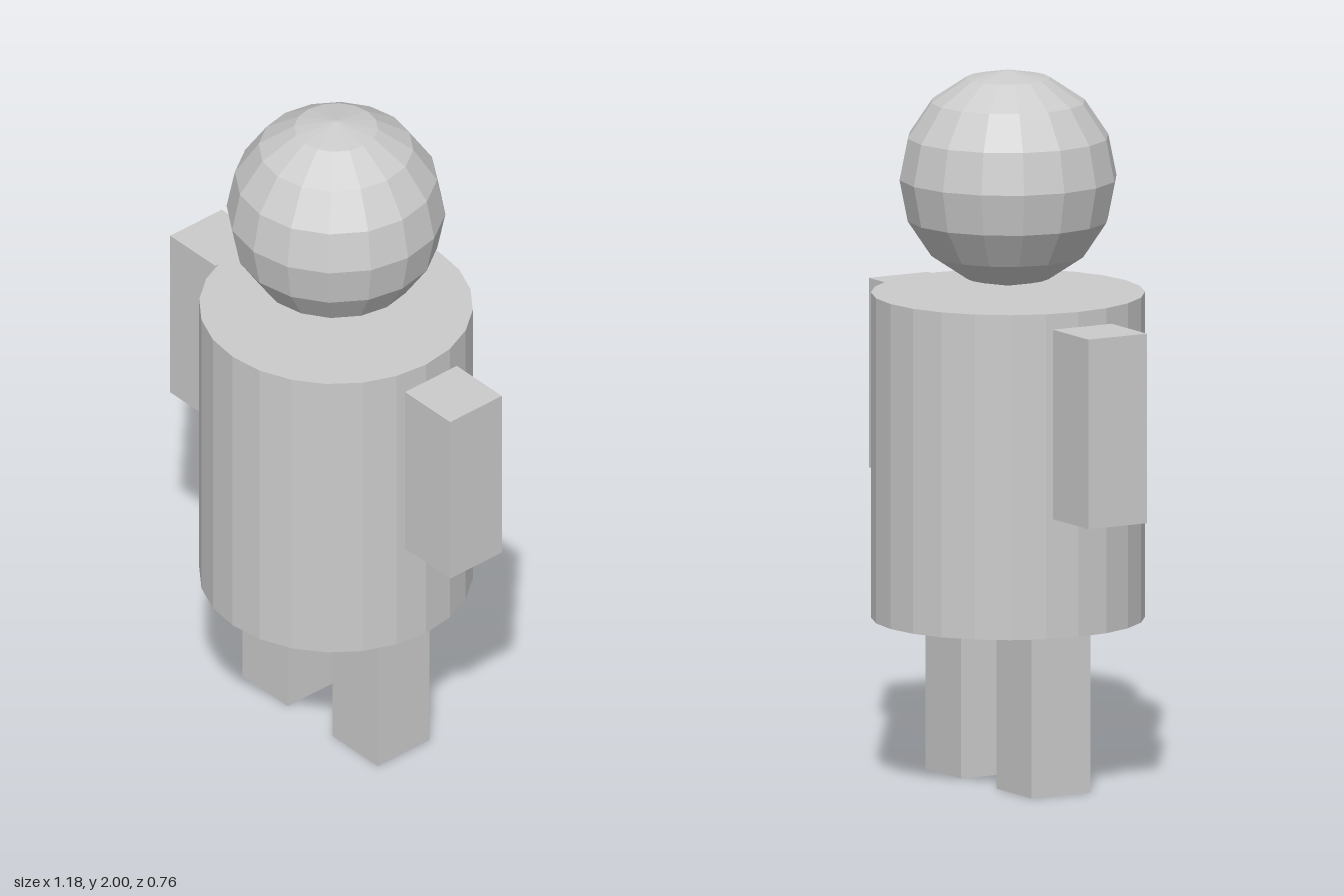
import * as THREE from 'three';

export function createModel() {
  const model = new THREE.Group();
  model.name = 'blockFigure';
  const material = new THREE.MeshStandardMaterial({ color: 0xcccccc, flatShading: true });

  const add = (name, geometry, x, y) => {
    const mesh = new THREE.Mesh(geometry, material);
    mesh.name = name;
    mesh.position.set(x, y, 0);
    model.add(mesh);
  };

  // Faceted head floating just above the torso
  add('head', new THREE.SphereGeometry(0.304, 16, 8), 0, 1.696);

  // Barrel torso
  add('torso', new THREE.CylinderGeometry(0.38, 0.38, 0.914, 24), 0, 0.917);

  // Mirrored arms and legs
  for (const [side, sign] of [['left', 1], ['right', -1]]) {
    add(side + 'Arm', new THREE.BoxGeometry(0.19, 0.533, 0.19), sign * 0.495, 1.069);
    add(side + 'Leg', new THREE.BoxGeometry(0.19, 0.46, 0.19), sign * 0.19, 0.23);
  }
  return model;
}
